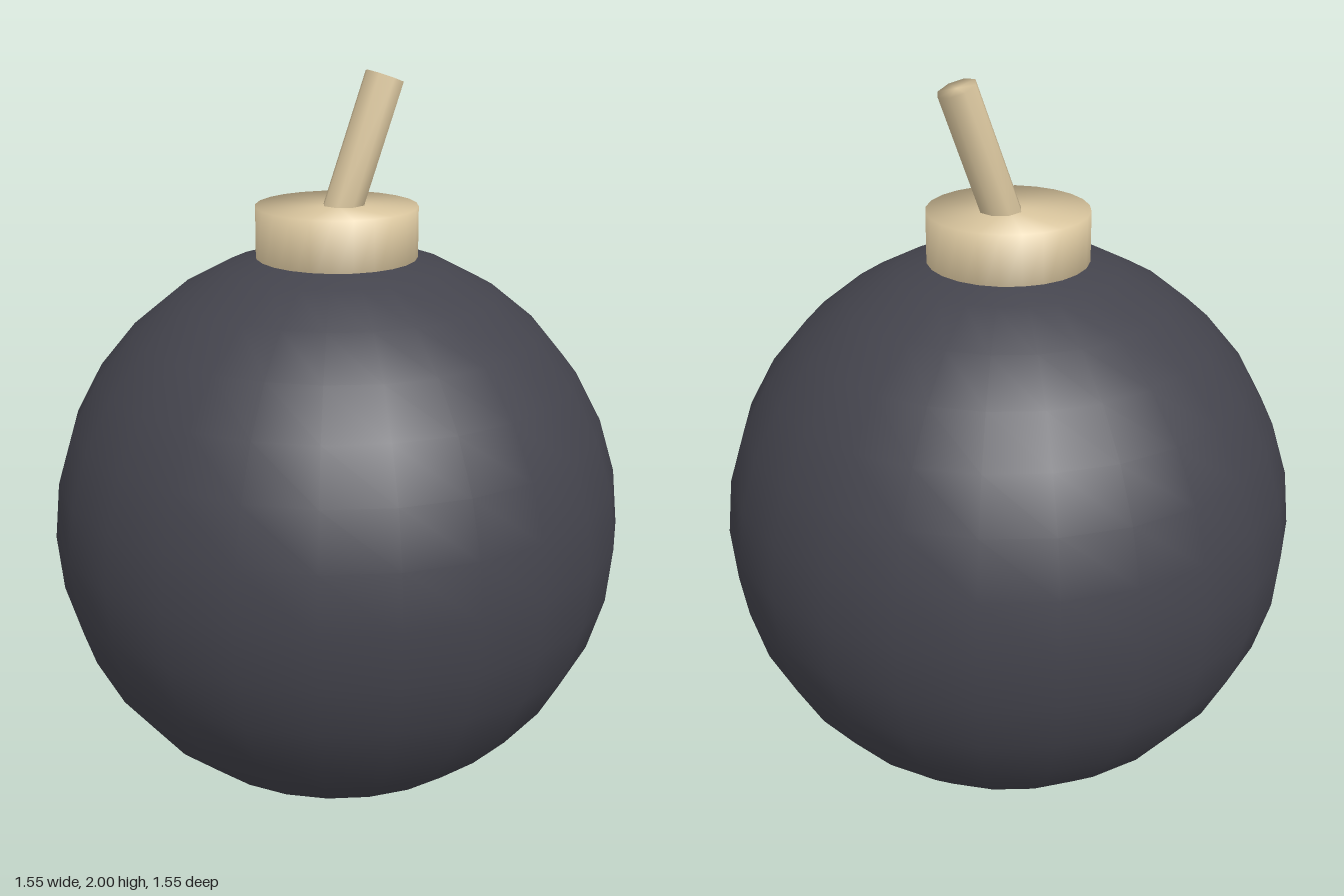
import * as THREE from 'three';
import { mergeVertices } from 'three/addons/utils/BufferGeometryUtils.js';

// Cylinder with welded rims, so its shading rolls softly over the edges
function softCylinder(radius, height, sides) {
  const geometry = new THREE.CylinderGeometry(radius, radius, height, sides);
  geometry.deleteAttribute('normal');
  geometry.deleteAttribute('uv');
  const welded = mergeVertices(geometry, 1e-4);
  welded.computeVertexNormals();
  return welded;
}

export function createModel() {
  const model = new THREE.Group();
  model.name = 'roundBomb';

  const shellMaterial = new THREE.MeshStandardMaterial({ color: 0x44444d });
  shellMaterial.name = 'charcoal';
  const tanMaterial = new THREE.MeshStandardMaterial({ color: 0xdcc8a0 });
  tanMaterial.name = 'tan';

  const add = (name, geometry, material) => {
    const mesh = new THREE.Mesh(geometry, material);
    mesh.name = name;
    model.add(mesh);
    return mesh;
  };

  // Round shell
  const radius = 0.777;
  add('shell', new THREE.SphereGeometry(radius, 24, 16), shellMaterial).position.y = radius;

  // Collar, sunk a little into the shell
  const collarTop = 1.655, collarBottom = 1.45;
  add('collar', softCylinder(0.216, collarTop - collarBottom, 24), tanMaterial)
    .position.y = (collarTop + collarBottom) / 2;

  // Fuse leaning towards +x, rooted inside the collar
  const start = new THREE.Vector3(0, 1.597, 0);
  const end = new THREE.Vector3(0.14, 1.982, 0);
  const fuse = add('fuse', softCylinder(0.054, start.distanceTo(end), 8), tanMaterial);
  fuse.position.copy(start).lerp(end, 0.5);
  fuse.rotation.z = -Math.atan2(end.x - start.x, end.y - start.y);

  return model;
}
